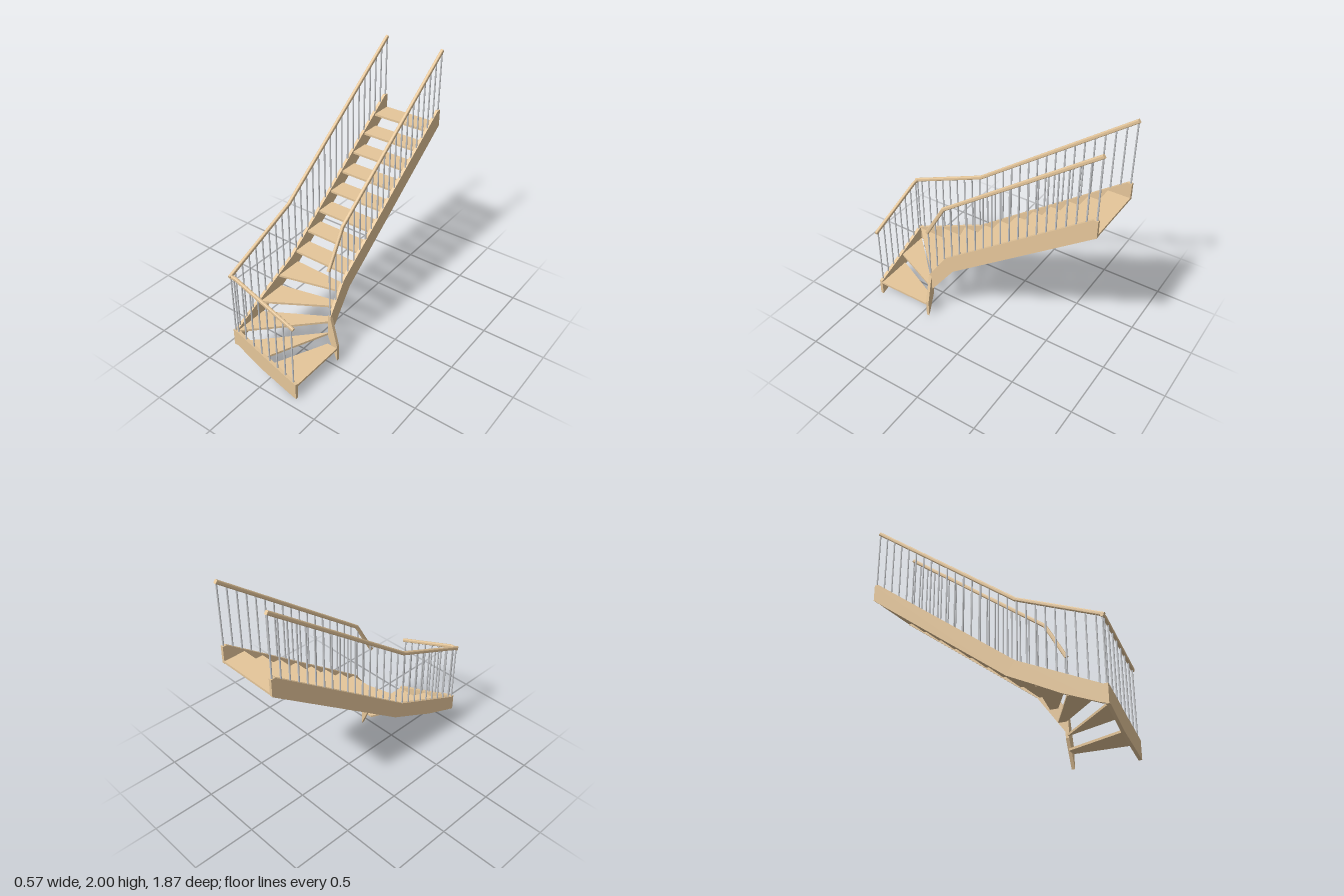
import * as THREE from 'three';

const wood = new THREE.MeshStandardMaterial({ color: 0xe5c69a });
wood.name = 'wood';
const metal = new THREE.MeshStandardMaterial({ color: 0xc4c6c9 });
metal.name = 'light steel';

// Flat board cut from an outline and extruded
function board(points, depth) {
  const shape = new THREE.Shape(points.map(([a, b]) => new THREE.Vector2(a, b)));
  return new THREE.ExtrudeGeometry(shape, { depth, bevelEnabled: false });
}

function add(group, name, geometry, material = wood) {
  const mesh = new THREE.Mesh(geometry, material);
  mesh.name = name;
  group.add(mesh);
  return mesh;
}

// Height of a polyline of [position, y] pairs
function heightAt(line, p) {
  for (let i = 0; i < line.length - 1; i++) {
    const [a, ya] = line[i], [b, yb] = line[i + 1];
    if ((p - a) * (p - b) <= 0) return ya + (yb - ya) * (p - a) / (b - a);
  }
  const end = Math.abs(p - line[0][0]) < Math.abs(p - line.at(-1)[0]) ? line[0] : line.at(-1);
  return end[1];
}

// Rounded handrail swept along a planar path with mitred bends; place maps (along, y, side) to space
function handrail(path, place) {
  const pts = path.map(([a, b]) => new THREE.Vector2(a, b));
  const section = [];
  for (let q = 0; q < 4; q++) {
    const sx = q === 0 || q === 3 ? 1 : -1, sy = q < 2 ? 1 : -1;
    for (let k = 0; k < 4; k++) {
      const t = (q + k / 3) * Math.PI / 2;
      section.push([sx * 0.003 + 0.0085 * Math.cos(t), sy * 0.006 + 0.0085 * Math.sin(t)]);
    }
  }
  const rings = pts.map((p, i) => {
    const dirs = [];
    if (i > 0) dirs.push(p.clone().sub(pts[i - 1]).normalize());
    if (i < pts.length - 1) dirs.push(pts[i + 1].clone().sub(p).normalize());
    const normals = dirs.map(d => new THREE.Vector2(-d.y, d.x));
    const n = normals[0].clone();
    if (normals[1]) n.add(normals[1]).normalize();
    n.divideScalar(n.dot(normals[0]));
    if (n.y < 0) n.negate();
    return section.map(([s, u]) => place(p.x + n.x * u, p.y + n.y * u, s));
  });
  const pos = [];
  const tri = (...v) => v.forEach(p => pos.push(...p));
  const m = section.length;
  for (let i = 0; i < rings.length - 1; i++) {
    for (let j = 0; j < m; j++) {
      const k = (j + 1) % m, A = rings[i], B = rings[i + 1];
      tri(A[j], A[k], B[k]);
      tri(A[j], B[k], B[j]);
    }
  }
  for (let j = 1; j < m - 1; j++) {
    const A = rings[0], B = rings.at(-1);
    tri(A[0], A[j + 1], A[j]);
    tri(B[0], B[j], B[j + 1]);
  }
  // Turn the triangles outward if the path ran the other way
  let volume = 0;
  for (let i = 0; i < pos.length; i += 9) {
    const [a, b, c] = [0, 3, 6].map(o => new THREE.Vector3().fromArray(pos, i + o));
    volume += a.dot(b.cross(c));
  }
  if (volume < 0) {
    for (let i = 0; i < pos.length; i += 9) {
      for (let o = 0; o < 3; o++) {
        [pos[i + 3 + o], pos[i + 6 + o]] = [pos[i + 6 + o], pos[i + 3 + o]];
      }
    }
  }
  const geometry = new THREE.BufferGeometry();
  geometry.setAttribute('position', new THREE.Float32BufferAttribute(pos, 3));
  geometry.computeVertexNormals();
  return geometry;
}

function baluster(group, x, z, y0, y1) {
  const mesh = add(group, 'baluster', new THREE.CylinderGeometry(0.006, 0.006, y1 - y0, 12), metal);
  mesh.position.set(x, (y0 + y1) / 2, z);
}

export function createModel() {
  const stair = new THREE.Group();
  stair.name = 'staircase';

  // Treads: front edges as [outer x, z, inner x, z], winders first, then straight steps
  const edges = [
    [0.282, 0.908, 0.282, 0.453], [0, 0.908, 0.2, 0.453], [-0.26, 0.908, 0.2, 0.443],
    [-0.26, 0.662, 0.2, 0.382], [-0.26, 0.443, 0.2, 0.323],
  ];
  for (let i = 0; i < 8; i++) {
    const z = 0.243 - i * 0.1443;
    edges.push([-0.26, z, 0.205, z]);
  }
  edges.push([-0.26, -0.933, 0.205, -0.933]);
  const treads = new THREE.Group();
  treads.name = 'treads';
  stair.add(treads);
  for (let i = 0; i < 13; i++) {
    const f = edges[i], t = i < 12 ? 1.07 : 1;
    const b = edges[i + 1].map((v, k) => f[k] + (v - f[k]) * t);
    b[0] = Math.max(b[0], -0.26);
    const outline = [[f[0], -f[1]], [f[2], -f[3]], [b[2], -b[3]], [b[0], -b[1]]];
    const tread = add(treads, 'tread', board(outline, 0.017).rotateX(-Math.PI / 2));
    tread.position.y = 0.106 + i * 0.1062;
  }

  // Stringers: upper edge lines carry the balusters
  const leftTop = [[0.933, 0.347], [0.9, 0.35], [0.29, 0.63], [-0.9, 1.51], [-0.933, 1.51]];
  const rightTop = [[0.455, 0.385], [0.29, 0.63], [-0.9, 1.51], [-0.933, 1.51]];
  const frontTop = [[-0.283, 0.35], [-0.24, 0.34], [0.03, 0.23], [0.283, 0.135]];
  const leftBottom = [[-0.933, 1.377], [0.22, 0.532], [0.43, 0.43], [0.62, 0.335], [0.88, 0.23], [0.933, 0.215]];
  const rightBottom = [[-0.933, 1.377], [0.22, 0.532], [0.455, 0.212]];
  const frontBottom = [[0.283, 0], [-0.03, 0.106], [-0.25, 0.215], [-0.283, 0.215]];
  add(stair, 'outerStringer', board([...leftTop, ...leftBottom], 0.023).rotateY(-Math.PI / 2)).position.x = -0.26;
  add(stair, 'innerStringer', board([...rightTop, ...rightBottom], 0.022).rotateY(-Math.PI / 2)).position.x = 0.224;
  add(stair, 'frontStringer', board([...frontTop, ...frontBottom], 0.025)).position.z = 0.908;
  const newel = [[0.202, 0.4], [0.224, 0.385], [0.283, 0.14], [0.283, 0], [0.202, 0.2]];
  add(stair, 'innerEndStringer', board(newel, 0.025)).position.z = 0.43;

  // Handrails
  const leftRail = [[0.933, 0.825], [0.29, 1.093], [-0.924, 1.988]];
  const rightRail = [[0.455, 0.805], [0.29, 1.093], [-0.924, 1.988]];
  const frontRail = [[-0.283, 0.825], [-0.225, 0.823], [0.278, 0.634]];
  add(stair, 'outerHandrail', handrail(leftRail, (a, y, s) => [-0.2715 + s, y, a]));
  add(stair, 'innerHandrail', handrail(rightRail, (a, y, s) => [0.213 + s, y, a]));
  add(stair, 'frontHandrail', handrail(frontRail, (a, y, s) => [a, y, 0.9205 + s]));

  // Balusters
  const balusters = new THREE.Group();
  balusters.name = 'balusters';
  stair.add(balusters);
  for (let i = 0; i < 26; i++) {
    const z = 0.875 - i * 0.0718;
    baluster(balusters, -0.2715, z, heightAt(leftTop, z) - 0.01, heightAt(leftRail, z));
    if (i > 5) baluster(balusters, 0.213, z, heightAt(rightTop, z) - 0.01, heightAt(rightRail, z));
  }
  for (let i = 0; i < 8; i++) {
    const x = 0.256 - i * 0.0715;
    baluster(balusters, x, 0.9205, heightAt(frontTop, x) - 0.01, heightAt(frontRail, x));
  }
  baluster(balusters, -0.2715, 0.9205, 0.34, 0.825);

  return stair;
}
